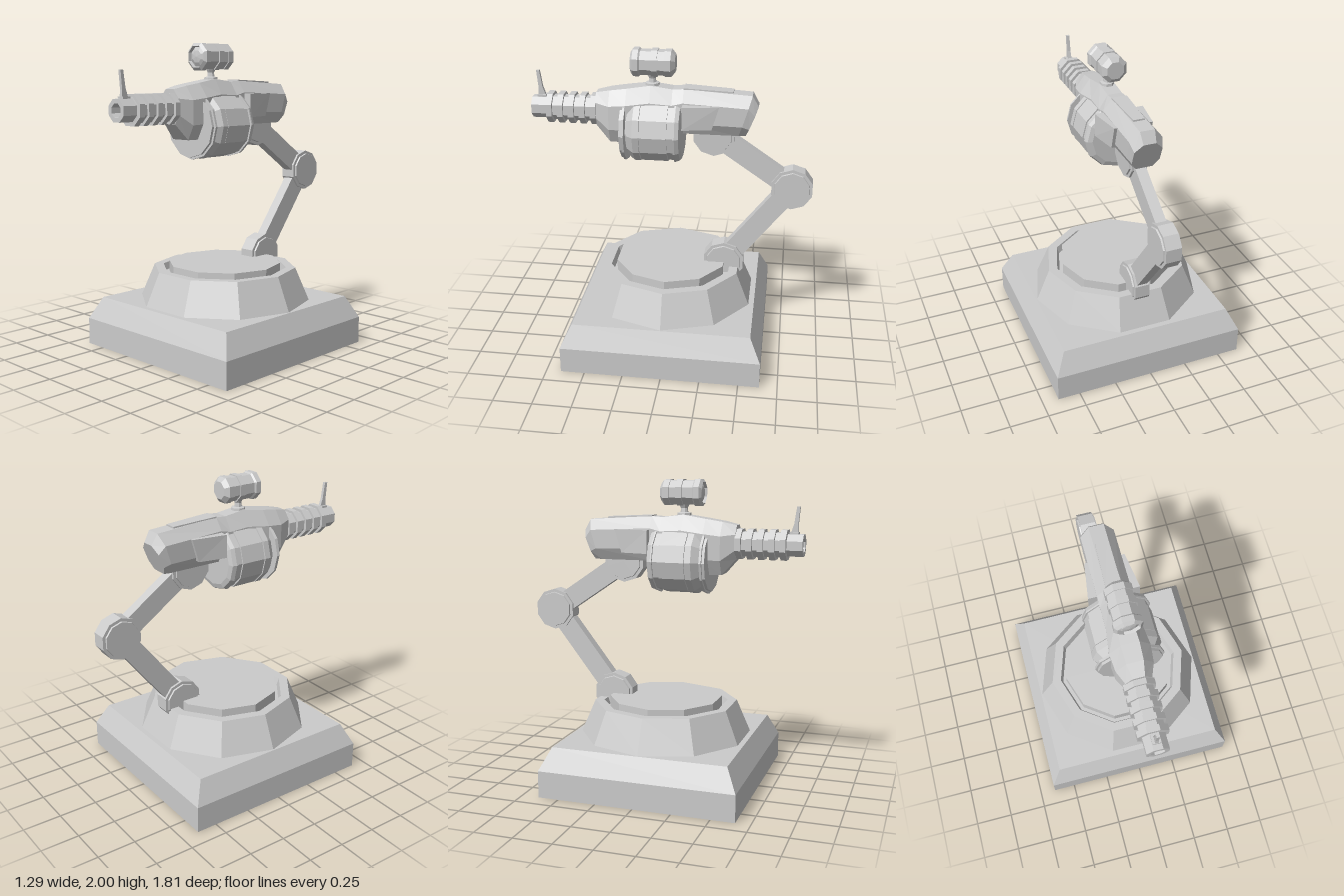
import * as THREE from 'three';

const material = new THREE.MeshStandardMaterial({ color: 0xcccccc, flatShading: true, side: THREE.DoubleSide });

export function createModel() {
  const model = new THREE.Group();

  const add = (name, geometry, x = 0, y = 0, z = 0) => {
    const mesh = new THREE.Mesh(geometry, material);
    mesh.name = name;
    mesh.position.set(x, y, z);
    model.add(mesh);
    return mesh;
  };
  // Faceted turned part; profile is [radius, height] pairs
  const turned = (profile, sides, start) =>
    new THREE.LatheGeometry(profile.map(p => new THREE.Vector2(...p)), sides, start);
  const turnedZ = (profile, sides, start) => turned(profile, sides, start).rotateX(Math.PI / 2);

  // Square plinth with a sloped shoulder
  const q = Math.SQRT2;
  add('plinth', turned([[0, 0], [0.645 * q, 0], [0.645 * q, 0.175], [0.575 * q, 0.32], [0, 0.32]], 4, Math.PI / 4), 0, 0, 0.01);

  // Ten-sided turntable: sloped ring, groove and raised platform
  add('turntable', turned([[0.567, 0.32], [0.475, 0.535], [0.415, 0.535], [0.4, 0.49],
    [0.375, 0.49], [0.375, 0.565], [0, 0.565]], 10, Math.PI / 2), 0, 0, 0.01);

  // Arm joints, axis across the model
  const joints = { lowerJoint: [0.567, -0.345], elbowJoint: [1.12, -0.773], upperJoint: [1.465, -0.265] };
  for (const [name, [y, z]] of Object.entries(joints)) {
    const profile = [[0, -0.06], [0.115, -0.06], [0.118, -0.05], [0.138, -0.05],
      [0.138, 0.05], [0.118, 0.05], [0.115, 0.06], [0, 0.06]];
    add(name, turned(profile, 10, Math.PI / 2).rotateZ(-Math.PI / 2), 0, y, z);
  }

  // Flat links between joints
  const link = (name, [y0, z0], [y1, z1]) => {
    const bar = new THREE.BoxGeometry(0.07, Math.hypot(y1 - y0, z1 - z0), 0.135);
    add(name, bar, 0, (y0 + y1) / 2, (z0 + z1) / 2).rotation.x = Math.atan2(z1 - z0, y1 - y0);
  };
  link('lowerLink', joints.lowerJoint, joints.elbowJoint);
  link('upperLink', joints.elbowJoint, joints.upperJoint);

  // Gun body lofted back to front: [zBottom, yBottom, zTop, yTop, halfWidth]
  add('gunBody', loft([
    [-0.465, 1.475, -0.54, 1.665, 0.09],
    [-0.42, 1.475, -0.5, 1.735, 0.105],
    [-0.07, 1.475, -0.07, 1.762, 0.105],
    [0, 1.42, 0, 1.757, 0.105],
    [0.14, 1.4, 0.14, 1.775, 0.105],
    [0.29, 1.4, 0.29, 1.752, 0.125],
    [0.4, 1.4, 0.4, 1.735, 0.115],
    [0.49, 1.5, 0.49, 1.715, 0.08],
  ]));

  // Tapered rib on top of the body
  const rib = new THREE.BoxGeometry(0.1, 0.04, 0.31);
  reshape(rib, v => {
    if (v.z < 0) { v.x *= 0.75; v.y -= 0.015; }
  });
  add('topRib', rib, 0, 1.748, -0.225);

  // Wedge-shaped side panels
  for (const side of [-1, 1]) {
    const panel = new THREE.BoxGeometry(0.16, 0.15, 0.23);
    reshape(panel, v => {
      const back = v.z < 0, outer = v.x * side > 0;
      if (back && outer) v.x -= side * 0.035;
      if (back && v.y < 0) v.z += 0.045;
    });
    add(side > 0 ? 'leftPanel' : 'rightPanel', panel, side * 0.08, 1.603, -0.185);
  }

  // Ammunition drum with raised bands, and its front flange
  add('drum', turnedZ([[0, -0.065], [0.175, -0.065], [0.205, -0.055], [0.215, -0.03], [0.215, -0.02],
    [0.203, -0.02], [0.203, 0.02], [0.212, 0.02], [0.212, 0.19], [0.203, 0.19],
    [0.203, 0.195], [0.215, 0.195], [0.215, 0.235], [0.18, 0.28], [0, 0.28]], 12, Math.PI / 2), 0, 1.483, 0);
  add('drumFlange', turnedZ([[0, 0.27], [0.15, 0.27], [0.15, 0.29], [0.215, 0.29], [0.215, 0.305],
    [0.2, 0.305], [0.2, 0.322], [0, 0.322]], 12, Math.PI / 2), 0, 1.483, 0);

  // Ribbed barrel with a hollow muzzle
  const barrel = [[0, 0.47], [0.08, 0.47]];
  for (let i = 0; i < 5; i++) {
    const z = 0.487 + i * 0.071;
    barrel.push([0.083, z], [0.102, z], [0.102, z + 0.038], [0.083, z + 0.038]);
  }
  barrel.push([0.074, 0.81], [0.074, 0.91], [0.045, 0.91], [0.035, 0.8], [0, 0.8]);
  add('barrel', turnedZ(barrel, 8, Math.PI / 8), 0, 1.597, 0);

  // Front sight: curved fin on a small foot
  const fin = new THREE.Shape([[0.88, 1.835], [0.86, 1.835], [0.845, 1.73], [0.822, 1.66], [0.875, 1.66], [0.87, 1.72]]
    .map(p => new THREE.Vector2(-p[0], p[1])));
  add('frontSight', new THREE.ExtrudeGeometry(fin, { depth: 0.02, bevelEnabled: false })
    .translate(0, 0, -0.01).rotateY(Math.PI / 2));
  add('sightFoot', new THREE.BoxGeometry(0.05, 0.03, 0.055), 0, 1.664, 0.848);

  // Scope with domed lens, raised bands and a tapered rear
  add('scope', turnedZ([[0, -0.015], [0.058, -0.015], [0.088, 0.01], [0.088, 0.05], [0.082, 0.05],
    [0.082, 0.095], [0.09, 0.095], [0.09, 0.135], [0.082, 0.135], [0.082, 0.205], [0.092, 0.215],
    [0.092, 0.25], [0.072, 0.265], [0.066, 0.245], [0.04, 0.258], [0, 0.263]], 8, Math.PI / 8), 0, 1.914, 0);
  add('scopeMount', turned([[0.05, 1.74], [0.045, 1.785], [0.025, 1.79], [0.022, 1.815], [0.04, 1.85]], 8, Math.PI / 8), 0, 0, 0.133);

  return model;
}

// Move the corners of a geometry by a rule
function reshape(geometry, rule) {
  const pos = geometry.attributes.position, v = new THREE.Vector3();
  for (let i = 0; i < pos.count; i++) {
    rule(v.fromBufferAttribute(pos, i));
    pos.setXYZ(i, v.x, v.y, v.z);
  }
  geometry.computeVertexNormals();
}

// Skin chamfered cross-sections and cap both ends
function loft(sections) {
  const half = [[0.6, 0], [1, 0.28], [1, 0.74], [0.45, 1]];
  const ring = [...half, ...half.map(([x, t]) => [-x, t]).reverse()];
  const n = ring.length, points = [], index = [];
  sections.forEach(([zb, yb, zt, yt, w], i) => {
    for (const [x, t] of ring) points.push(x * w, yb + (yt - yb) * t, zb + (zt - zb) * t);
    if (i === 0) return;
    for (let j = 0; j < n; j++) {
      const k = (j + 1) % n, a = (i - 1) * n, b = i * n;
      index.push(a + j, a + k, b + k, a + j, b + k, b + j);
    }
  });
  const last = (sections.length - 1) * n;
  for (let j = 1; j < n - 1; j++) index.push(0, j + 1, j, last, last + j, last + j + 1);
  const geometry = new THREE.BufferGeometry();
  geometry.setAttribute('position', new THREE.Float32BufferAttribute(points, 3));
  geometry.setIndex(index);
  geometry.computeVertexNormals();
  return geometry;
}
